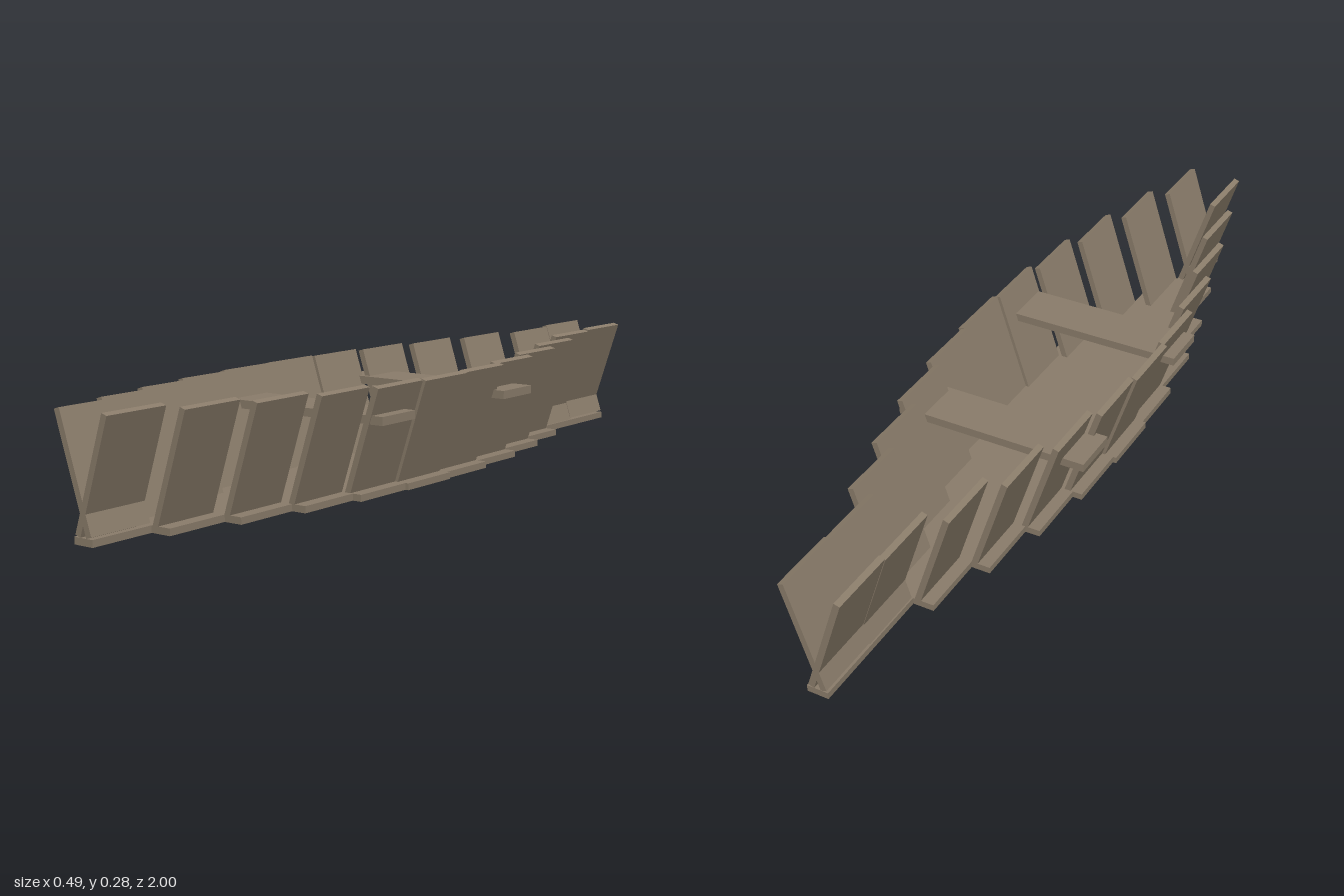
import * as THREE from 'three';

const SEGMENTS = 12;
const STEP = 2 / SEGMENTS;
const LEAN = 0.314;

export function createModel() {
  const boat = new THREE.Group();
  boat.name = 'plankBoat';

  const wood = new THREE.MeshStandardMaterial({ color: 0x8b7d6b });
  wood.name = 'weatheredWood';

  function board(name, size, position, tilt = 0) {
    const mesh = new THREE.Mesh(new THREE.BoxGeometry(...size), wood);
    mesh.name = name;
    mesh.position.set(...position);
    mesh.rotation.z = tilt;
    boat.add(mesh);
  }

  // Stepped hull, from the bow (+z) to the stern
  for (let i = 0; i < SEGMENTS; i++) {
    const z = 1 - (i + 0.5) * STEP;
    const halfWidth = 0.026 + 0.167 * Math.max(0, Math.sin((Math.PI * i) / 10));
    const lift = 0.015 * z * z;

    board('floorBoard', [2 * halfWidth, 0.016, STEP], [0, 0.008, z]);

    // Side planks lean outwards and rise towards both ends
    for (const side of [1, -1]) {
      board(side > 0 ? 'leftSidePlank' : 'rightSidePlank',
        [0.015, 0.268, STEP], [side * halfWidth, 0.133 + lift, z], -side * LEAN);
    }
  }

  // Cross benches, poking out through the sides
  board('frontBench', [0.485, 0.02, 0.122], [0, 0.187, 0.27]);
  board('rearBench', [0.485, 0.02, 0.122], [0, 0.187, -0.215]);

  return boat;
}
